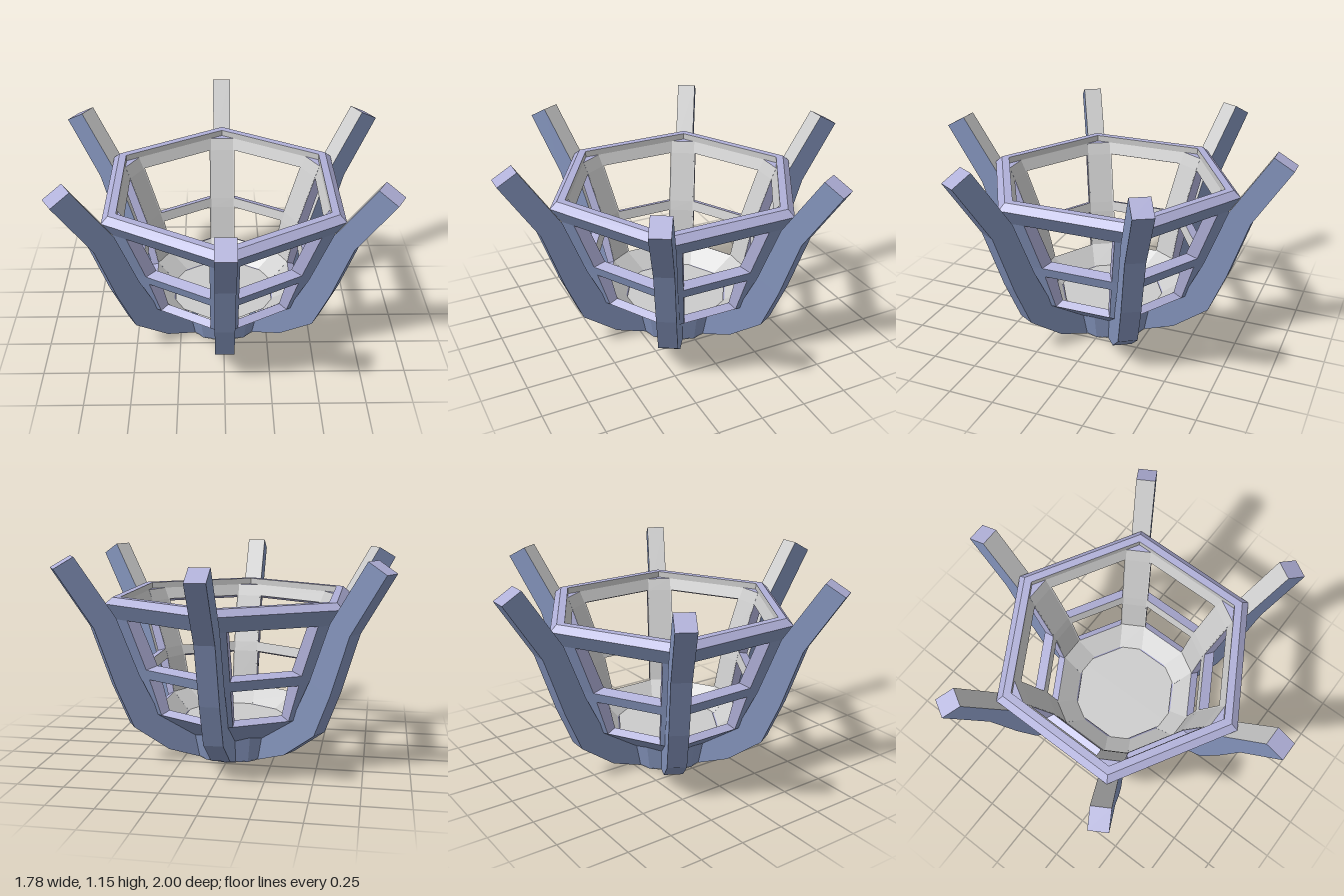
import * as THREE from 'three';

const mat = (color) => new THREE.MeshStandardMaterial({ color, flatShading: true, side: THREE.DoubleSide });

// Wall stations as [radius, height], bottom to top: outer skin and inner skin
const OUTER = [[0.24, 0.13], [0.425, 0.27], [0.48, 0.475], [0.495, 0.53], [0.58, 0.805], [0.63, 0.89], [0.595, 0.925]];
const INNER = [[0.285, 0.2], [0.385, 0.295], [0.425, 0.495], [0.44, 0.55], [0.53, 0.825], [0.555, 0.89], [0.555, 0.925]];
// Rib stations along its outer and inner edges
const RIB_OUT = [[0.22, 0], [0.40, 0.064], [0.595, 0.21], [0.69, 0.44], [0.80, 0.77], [1.0, 1.09]];
const RIB_IN = [[0.2, 0.15], [0.3, 0.17], [0.45, 0.27], [0.56, 0.5], [0.68, 0.82], [0.893, 1.15]];

const TAN = Math.tan(Math.PI / 6);
const COS = Math.cos(Math.PI / 6);

// Solid block between two stations; x0(r) and x1(r) give its side limits.
// Faces fall in three material groups: outer, rim, inner.
function block(o0, o1, i0, i1, x0, x1) {
  const at = ([r, y], x) => [x(r), y, r];
  const a = at(o0, x0), b = at(o0, x1), c = at(o1, x1), d = at(o1, x0);
  const e = at(i0, x0), f = at(i0, x1), g = at(i1, x1), h = at(i1, x0);
  const quads = [[a, b, c, d], [b, f, g, c], [e, a, d, h], [d, c, g, h], [e, f, b, a], [f, e, h, g]];
  const pos = quads.flatMap(([p, q, r, s]) => [p, q, r, p, r, s]).flat();
  const geo = new THREE.BufferGeometry();
  geo.setAttribute('position', new THREE.Float32BufferAttribute(pos, 3));
  geo.computeVertexNormals();
  [0, 1, 1, 2, 2, 3].forEach((m, k) => geo.addGroup(k * 6, 6, m));
  return geo;
}

export function createModel() {
  const model = new THREE.Group();
  const blue = mat(0x8494bc), rim = mat(0xb0b0d8), grey = mat(0xcccccc);
  const wallMats = [blue, rim, rim, grey];
  const ribMats = [blue, blue, rim, grey];

  const add = (parent, geo, mats, name) => {
    const mesh = new THREE.Mesh(geo, mats);
    mesh.name = name;
    parent.add(mesh);
    return mesh;
  };

  for (let n = 0; n < 6; n++) {
    // Wall panel between two ribs: solid foot, two windows, cross bar and top rail
    const panel = new THREE.Group();
    panel.name = 'wallPanel';
    panel.rotation.y = (n + 0.5) * Math.PI / 3;
    const edge = (r) => r * TAN;
    const opening = (r) => r * TAN - 0.087;
    const names = ['panelFoot', 'lowerPost', 'crossBar', 'upperPost', 'topRail', 'railLip'];
    names.forEach((name, k) => {
      const span = [OUTER[k], OUTER[k + 1], INNER[k], INNER[k + 1]];
      if (name.endsWith('Post')) {
        add(panel, block(...span, opening, edge), wallMats, name);
        add(panel, block(...span, (r) => -edge(r), (r) => -opening(r)), wallMats, name);
      } else {
        const mats = name === 'railLip' ? [rim, rim, rim, grey] : wallMats;
        add(panel, block(...span, (r) => -edge(r), edge), mats, name);
      }
    });
    model.add(panel);

    // Outer rib with flaring tip, and the flat pillar that fills the inner corner
    const rib = new THREE.Group();
    rib.name = 'rib';
    rib.rotation.y = n * Math.PI / 3;
    for (let k = 0; k < 5; k++) {
      add(rib, block(RIB_OUT[k], RIB_OUT[k + 1], RIB_IN[k], RIB_IN[k + 1], () => -0.052, () => 0.052), ribMats, 'ribSegment');
      const corner = (p, inset) => [p[0] / COS - inset, p[1]];
      add(rib, block(corner(OUTER[k], 0.05), corner(OUTER[k + 1], 0.05),
        corner(INNER[k], 0.04), corner(INNER[k + 1], 0.04), () => -0.068, () => 0.068), ribMats, 'cornerPillar');
    }
    model.add(rib);
  }

  // Hub under the bowl, its underside and the floor inside
  const hub = add(model, new THREE.CylinderGeometry(0.265, 0.235, 0.15, 12, 1, true), blue, 'hub');
  hub.position.y = 0.075;
  const underside = add(model, new THREE.CircleGeometry(0.235, 24), grey, 'underside');
  underside.rotation.x = Math.PI / 2;
  underside.position.y = 0.005;
  const floor = add(model, new THREE.CircleGeometry(0.32, 6, Math.PI / 2), grey, 'floor');
  floor.rotation.x = -Math.PI / 2;
  floor.position.y = 0.201;

  return model;
}
